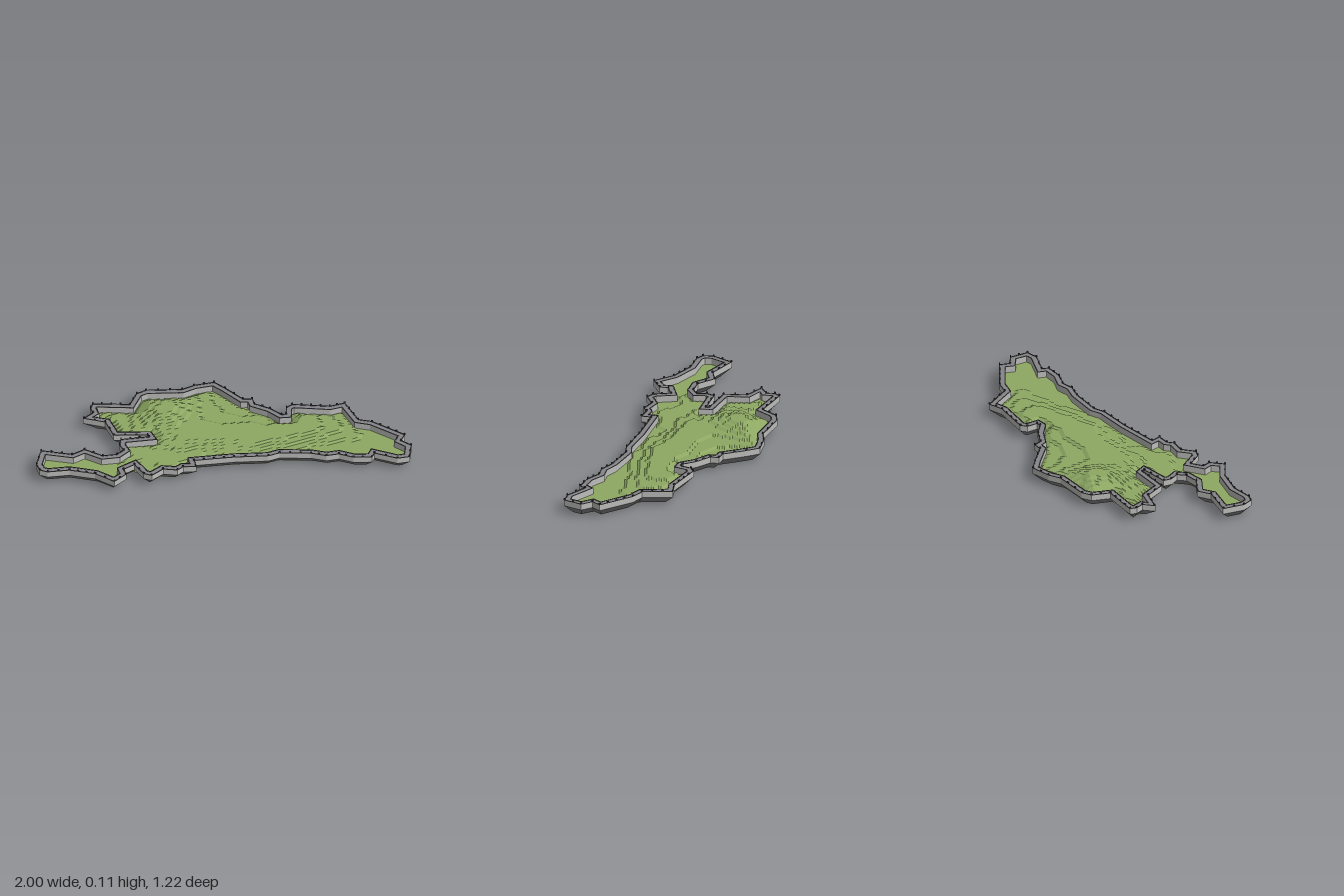
import * as THREE from 'three';
import { mergeGeometries } from 'three/addons/utils/BufferGeometryUtils.js';

const mat = (name, color) => {
  const m = new THREE.MeshStandardMaterial({ color, flatShading: true, side: THREE.DoubleSide });
  m.name = name;
  return m;
};

// Coastline seen from above, x and z in hundredths, interior on the left of travel
const COAST = [
  -88, 6, -75, 5, -66, 15, -48, 8, -47, 9, -61, 17, -60, 22, -56, 26, -58, 31, -65, 35,
  -77, 33, -82, 40, -100, 43, -98, 56, -94, 61, -89, 61, -78, 55, -63, 53, -50, 56, -46, 47,
  -49, 43, -45, 37, -37, 43, -32, 43, -28, 35, -20, 33, -18, 29, -11, 26, -14, 21, 6, 10,
  24, 2, 29, -3, 46, -9, 55, -10, 61, -14, 70, -14, 80, -18, 80, -22, 94, -22, 100, -26,
  97, -37, 90, -39, 90, -45, 68, -50, 60, -49, 47, -61, 40, -55, 19, -49, 17, -45, 19, -39,
  17, -38, 9, -41, -1, -42, -4, -46, -9, -44, -22, -50, -30, -53, -40, -46, -45, -40, -64, -32,
  -68, -27, -68, -16, -83, -11, -88, -9, -88, -5, -85, -1,
];
const coast = [];
for (let i = 0; i < COAST.length; i += 2) coast.push(new THREE.Vector2(COAST[i] / 100, COAST[i + 1] / 100));
const N = coast.length;

// Moves the outline inwards with limited mitres
function inset(d) {
  const normal = (a, b) => new THREE.Vector2(b.y - a.y, a.x - b.x).normalize();
  return coast.map((p, i) => {
    const n1 = normal(coast[(i + N - 1) % N], p), n2 = normal(p, coast[(i + 1) % N]);
    const k = d / Math.max(1 + n1.dot(n2), 0.6);
    return p.clone().addScaledVector(n1.add(n2), k);
  });
}

// Sweeps a profile of [inset, height] points around the coast
function ring(profile) {
  const rows = profile.map(([d, y]) => inset(d).map((p) => [p.x, y, p.y]));
  const pos = [];
  for (let k = 0; k + 1 < rows.length; k++) {
    for (let i = 0; i < N; i++) {
      const j = (i + 1) % N;
      const a = rows[k][i], b = rows[k][j], c = rows[k + 1][j], e = rows[k + 1][i];
      pos.push(...a, ...b, ...c, ...a, ...c, ...e);
    }
  }
  const g = new THREE.BufferGeometry();
  g.setAttribute('position', new THREE.Float32BufferAttribute(pos, 3));
  g.computeVertexNormals();
  return g;
}

// Small merlons spaced along an inset outline
function merlons(d, gap) {
  const line = inset(d), boxes = [];
  line.forEach((p, i) => {
    const q = line[(i + 1) % N];
    const count = Math.max(1, Math.round(p.distanceTo(q) / gap));
    for (let k = 0; k < count; k++) {
      const c = p.clone().lerp(q, k / count);
      const b = new THREE.BoxGeometry(0.01, 0.01, 0.006);
      b.rotateY(-Math.atan2(q.y - p.y, q.x - p.x));
      boxes.push(b.translate(c.x, 0.091, c.y));
    }
  });
  return mergeGeometries(boxes);
}

// Nearest point on a closed outline, and whether (x, z) lies inside it
function locate(line, x, z) {
  let best = Infinity, inside = false, nx = x, nz = z;
  for (let i = 0; i < N; i++) {
    const a = line[i], b = line[(i + 1) % N];
    const ex = b.x - a.x, ez = b.y - a.y;
    const t = THREE.MathUtils.clamp(((x - a.x) * ex + (z - a.y) * ez) / (ex * ex + ez * ez), 0, 1);
    const px = a.x + ex * t, pz = a.y + ez * t, dist = Math.hypot(px - x, pz - z);
    if (dist < best) { best = dist; nx = px; nz = pz; }
    if (a.y > z !== b.y > z && x < a.x + (ex * (z - a.y)) / ez) inside = !inside;
  }
  return { inside, dist: best, x: nx, z: nz };
}

// Terraced relief: a western hill and a long diagonal ridge, low at the coast
function relief(x, z, dist) {
  const bump = (sx, sz) => Math.exp(-(((x + 0.47) / sx) ** 2) - ((z + 0.18) / sz) ** 2);
  const hill = 0.036 * bump(0.32, 0.35) + 0.026 * bump(0.115, 0.15);
  const along = (x + 0.3) * 0.88 - (z - 0.15) * 0.47;
  const across = (x + 0.3) * 0.47 + (z - 0.15) * 0.88;
  const end = THREE.MathUtils.smoothstep(along, -0.15, 0.1) * (1 - THREE.MathUtils.smoothstep(along, 0.75, 1.2));
  const bend = across + 0.1 + 0.03 * Math.sin(along * 9);
  const ridge = 0.032 * end * Math.exp(-((bend / (bend > 0 ? 0.12 : 0.25)) ** 2));
  const ripple = 0.001 * Math.sin(x * 31 + z * 17) + 0.001 * Math.sin(z * 43 - x * 12);
  const h = Math.min(Math.max(hill, ridge) + ripple, dist * 0.6);
  return Math.max(0, Math.round(h / 0.01) * 0.01);
}

// Grid of ground cells whose outermost corners snap to the wall
function terrain(margin, base) {
  const line = inset(margin), step = 0.02, W = 102, D = 64;
  const pts = [];
  for (let r = 0; r <= D; r++) {
    for (let c = 0; c <= W; c++) {
      const x = (c - W / 2) * step, z = (r - D / 2) * step;
      const at = locate(line, x, z);
      pts.push(at.inside
        ? { inside: true, v: [x, base + relief(x, z, at.dist), z] }
        : { inside: false, v: [at.x, base, at.z] });
    }
  }
  const index = [];
  for (let r = 0; r < D; r++) {
    for (let c = 0; c < W; c++) {
      const a = r * (W + 1) + c, b = a + 1, d = a + W + 1, e = d + 1;
      if ([a, b, d, e].some((i) => pts[i].inside)) index.push(a, d, b, b, d, e);
    }
  }
  const g = new THREE.BufferGeometry();
  g.setAttribute('position', new THREE.Float32BufferAttribute(pts.flatMap((p) => p.v), 3));
  g.setIndex(index);
  g.computeVertexNormals();
  return g;
}

export function createModel() {
  const model = new THREE.Group();
  model.name = 'walledIsland';
  const grass = mat('grass green', 0x8da863);
  const stone = mat('stone grey', 0x86868a);
  const pale = mat('pale stone', 0xbcbcba);
  const dark = mat('dark stone', 0x3c3c3e);
  const add = (name, geometry, material) => {
    const mesh = new THREE.Mesh(geometry, material);
    mesh.name = name;
    model.add(mesh);
  };

  // Ground and its underside, following the same terraces
  add('terrain', terrain(0.034, 0.047), grass);
  add('terrainUnderside', terrain(0.044, 0.001), grass);
  // Undercut cliff, pale wall faces and the wall walk on top
  add('cliff', ring([[0.047, 0], [0, 0.05]]), stone);
  add('wallOuterFace', ring([[0, 0.05], [0, 0.085]]), pale);
  add('wallWalk', ring([[0, 0.085], [0.036, 0.085]]), stone);
  add('wallInnerFace', ring([[0.036, 0.085], [0.036, 0.044]]), pale);
  // Dark copings along both edges of the wall walk
  for (const [name, d] of [['outer', 0], ['inner', 0.03]]) {
    add(name + 'Coping', ring([[d, 0.084], [d, 0.087], [d + 0.006, 0.087], [d + 0.006, 0.084]]), dark);
  }
  add('merlons', merlons(0.003, 0.06), dark);
  return model;
}
